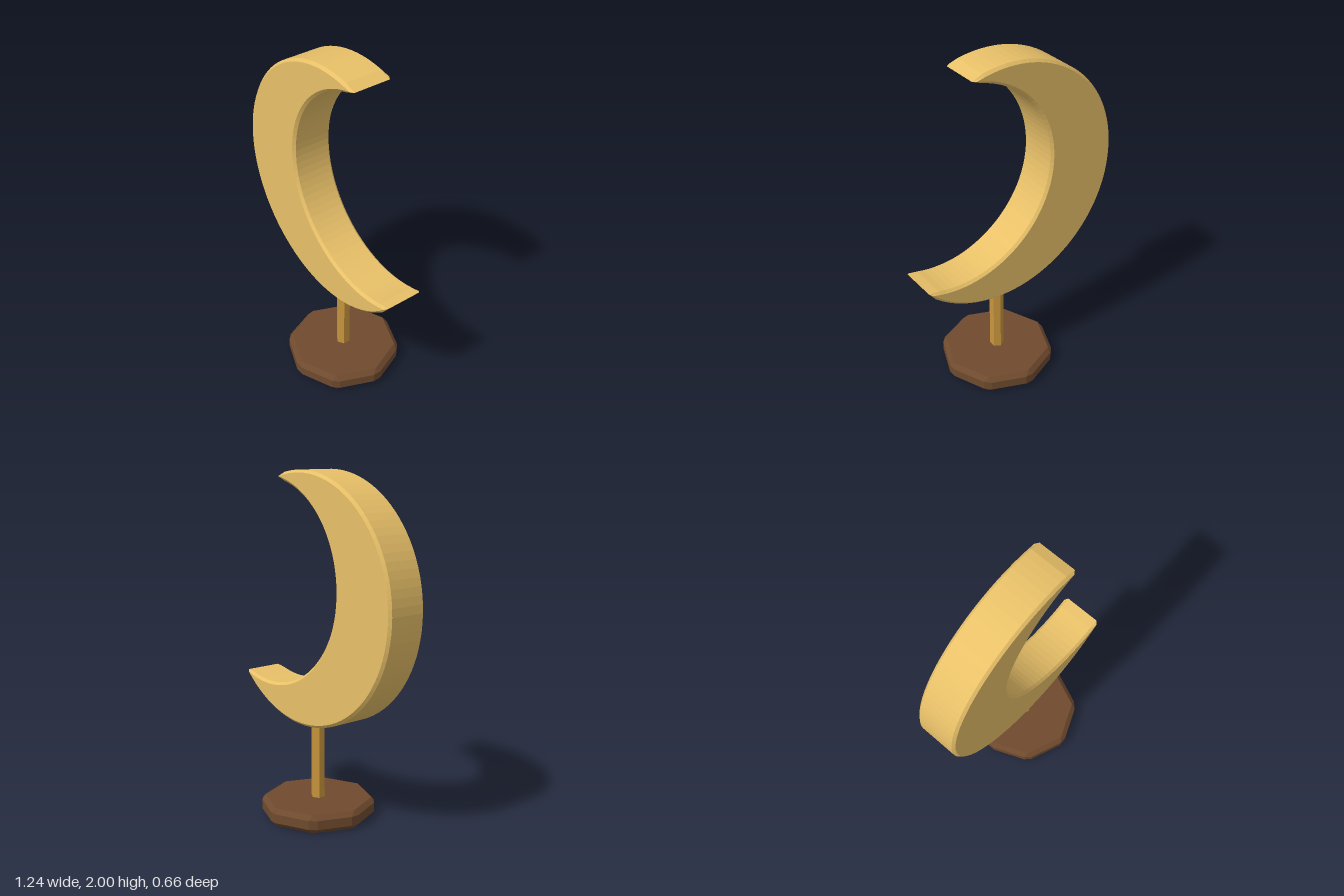
import * as THREE from 'three';
import { ConvexGeometry } from 'three/addons/geometries/ConvexGeometry.js';

const CX = 0.097; // axis of stand and base

function part(name, geometry, color) {
  const mesh = new THREE.Mesh(geometry, new THREE.MeshStandardMaterial({ color, flatShading: true }));
  mesh.name = name;
  return mesh;
}

// Crescent between an outer circle and an offset inner circle, extruded with a small chamfer
function crescentGeometry() {
  const outer = new THREE.Vector2(0.1, 1.28), R = 0.705;
  const inner = new THREE.Vector2(0.4, 1.36), r = 0.61;
  const bevel = 0.015, depth = 0.25;

  // tips are where the two circles cross
  const axis = inner.clone().sub(outer);
  const d = axis.length();
  axis.divideScalar(d);
  const a = (d * d + R * R - r * r) / (2 * d);
  const h = Math.sqrt(R * R - a * a);
  const tilt = Math.atan2(axis.y, axis.x);
  const outerHalf = Math.atan2(h, a);
  const innerHalf = Math.atan2(h, a - d);

  const points = [];
  const arc = (c, rad, from, to, n, skip) => {
    for (let i = skip; i <= n - skip; i++) {
      const t = from + (to - from) * i / n;
      points.push(new THREE.Vector2(c.x + rad * Math.cos(t), c.y + rad * Math.sin(t)));
    }
  };
  arc(outer, R, tilt + outerHalf, tilt + 2 * Math.PI - outerHalf, 64, 0);
  arc(inner, r, tilt + 2 * Math.PI - innerHalf, tilt + innerHalf, 48, 1);

  const geometry = new THREE.ExtrudeGeometry(new THREE.Shape(points), {
    depth: depth - 2 * bevel, bevelThickness: bevel, bevelSize: bevel, bevelSegments: 1,
  });
  return geometry.translate(0, 0, -depth / 2 + bevel);
}

// Octagonal slab with every edge and corner chamfered
function baseGeometry() {
  const points = [];
  const add = (x, y, z) => points.push(new THREE.Vector3(x, y, z));
  for (let i = 0; i < 8; i++) {
    const t = i * Math.PI / 4, s = Math.sin(t), c = Math.cos(t);
    for (const y of [0, 0.105]) add(0.313 * s, y, 0.313 * c);
    for (const y of [0.026, 0.079]) {
      for (const w of [-0.025, 0.025]) add(0.33 * s + w * c, y, 0.33 * c - w * s);
    }
  }
  return new ConvexGeometry(points);
}

export function createModel() {
  const group = new THREE.Group();
  group.name = 'crescentLamp';

  group.add(part('crescent', crescentGeometry(), 0xe8c068));

  // hexagonal post with an edge facing the front
  const post = part('post', new THREE.CylinderGeometry(0.041, 0.041, 0.49, 6), 0xc8963c);
  post.position.set(CX, 0.335, 0);
  group.add(post);

  const base = part('base', baseGeometry(), 0x6f4a2e);
  base.position.x = CX;
  group.add(base);

  return group;
}
